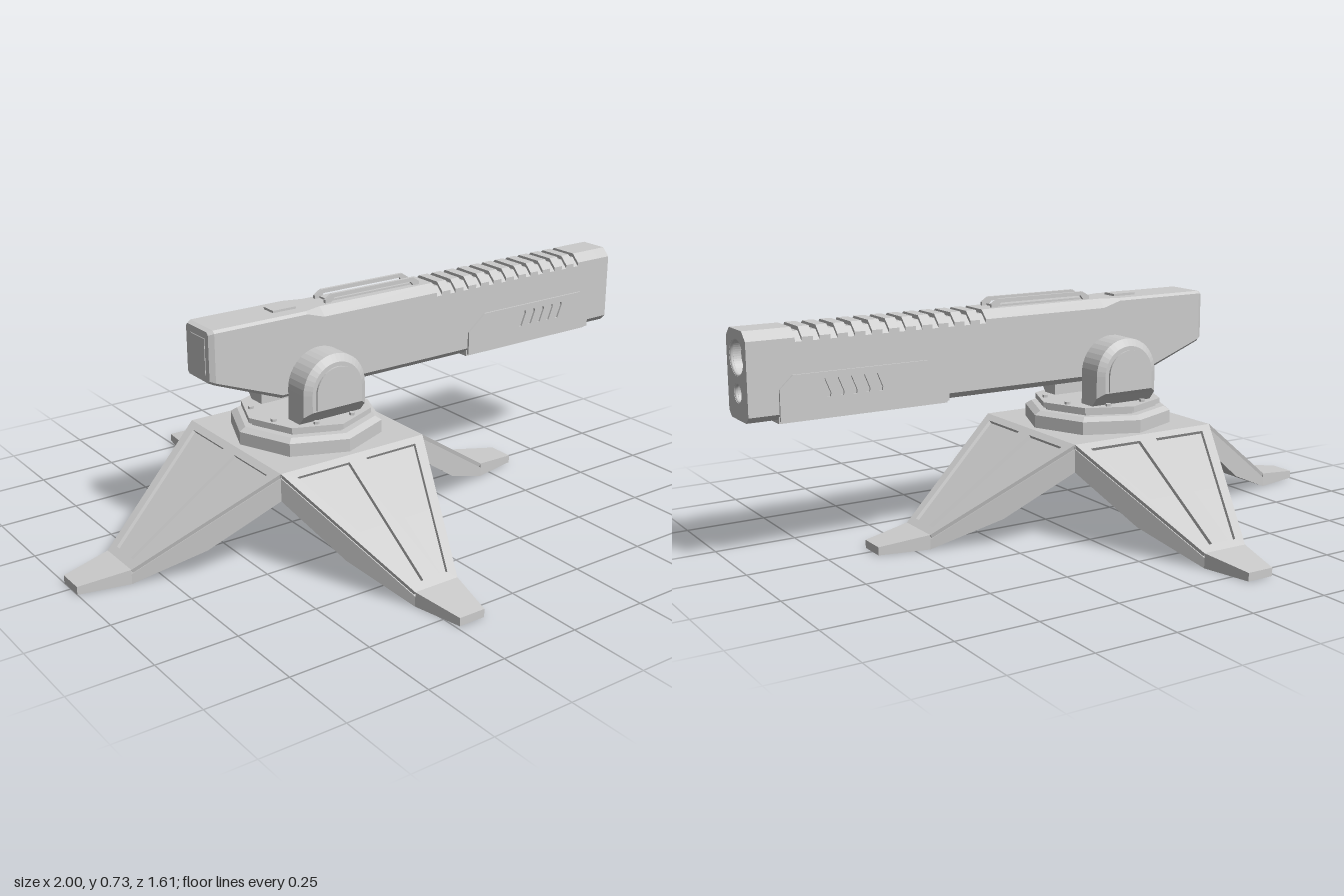
import * as THREE from 'three';

const mat = new THREE.MeshStandardMaterial({ color: 0xcccccc, flatShading: true });
const smooth = new THREE.MeshStandardMaterial({ color: 0xcccccc });

function add(parent, name, geo, material = mat, pos = [0, 0, 0]) {
  const m = new THREE.Mesh(geo, material);
  m.name = name;
  m.position.set(...pos);
  parent.add(m);
  return m;
}

// Closed solid through convex cross-sections; turned outward by its signed volume
function loft(sections) {
  const tris = [];
  const n = sections[0].length;
  for (let s = 0; s < sections.length - 1; s++) {
    const a = sections[s], b = sections[s + 1];
    for (let i = 0; i < n; i++) {
      const j = (i + 1) % n;
      tris.push([a[i], a[j], b[j]], [a[i], b[j], b[i]]);
    }
  }
  const first = sections[0], last = sections[sections.length - 1];
  for (let i = 1; i < n - 1; i++) {
    tris.push([first[0], first[i + 1], first[i]], [last[0], last[i], last[i + 1]]);
  }
  let volume = 0;
  const v = tris.map(t => t.map(p => new THREE.Vector3(...p)));
  for (const [a, b, c] of v) volume += a.dot(b.clone().cross(c));
  const flat = tris.flatMap(t => (volume < 0 ? [t[0], t[2], t[1]] : t)).flat();
  const g = new THREE.BufferGeometry();
  g.setAttribute('position', new THREE.Float32BufferAttribute(flat, 3));
  g.computeVertexNormals();
  return g;
}

const poly = pts => new THREE.Shape(pts.map(p => new THREE.Vector2(...p)));
const extrude = (shape, depth) =>
  new THREE.ExtrudeGeometry(shape, { depth, bevelEnabled: false, curveSegments: 24 });

// Leg pointing to +z, with a panelled plate on its slope and a flat foot
function makeLeg() {
  const leg = new THREE.Group();
  leg.name = 'leg';
  const sec = (r, w, top, bottom) => [[-w, top, r], [w, top, r], [w, bottom, r], [-w, bottom, r]];
  add(leg, 'legBody', loft([
    sec(0.255, 0.255, 0.291, 0.22), sec(0.45, 0.166, 0.163, 0.085), sec(0.65, 0.075, 0.031, 0),
  ]));
  add(leg, 'foot', loft([sec(0.65, 0.075, 0.045, 0), sec(0.805, 0.043, 0.025, 0)]));
  const L = 0.473;
  const plate = poly([[-0.255, 0], [0.255, 0], [0.075, L], [-0.075, L]]);
  for (const s of [-1, 1]) {
    plate.holes.push(poly([[s * 0.03, 0.024], [s * 0.212, 0.024], [s * 0.056, 0.447], [s * 0.03, 0.447]]));
  }
  const g = extrude(plate, 0.013);
  g.rotateX(Math.PI / 2 + Math.atan2(0.26, 0.395));
  add(leg, 'panelFrame', g, mat, [0, 0.305, 0.255]);
  return leg;
}

// Round-topped outline at depth z
function arch(z, r, bottom, cy = 0.478) {
  const pts = [[-r, bottom, z]];
  for (let i = 0; i <= 20; i++) {
    const a = Math.PI * (1 - i / 20);
    pts.push([r * Math.cos(a), cy + r * Math.sin(a), z]);
  }
  pts.push([r, bottom, z]);
  return pts;
}

// Chamfered barrel outline as [z, y]
function outline(top = 0.7, bottom = 0.447, w = 0.072, ct = 0.026, cb = 0.018) {
  return [
    [-w + cb, bottom], [w - cb, bottom], [w, bottom + cb], [w, top - ct],
    [w - ct, top], [-w + ct, top], [-w, top - ct], [-w, bottom + cb],
  ];
}

function makeGun() {
  const gun = new THREE.Group();
  gun.name = 'gun';
  const sec = (x, ...args) => outline(...args).map(([z, y]) => [x, y, z]);

  // Receiver, sloping rear and grooved top
  const sections = [
    sec(-0.56, 0.695, 0.542, 0.062, 0.008, 0.008),
    sec(-0.545, 0.7, 0.536, 0.072, 0.008, 0.008),
    sec(-0.32, 0.7, 0.447, 0.072, 0.008, 0.012),
    sec(-0.23, 0.7, 0.447, 0.072, 0.008, 0.018),
    sec(-0.17, 0.7, 0.447, 0.072, 0.026, 0.018),
  ];
  for (let i = 0; i < 12; i++) {
    const x = 0.255 + i * 0.053;
    sections.push(sec(x), sec(x, 0.688), sec(x + 0.02, 0.688), sec(x + 0.02));
  }
  sections.push(sec(0.95));
  add(gun, 'barrelHousing', loft(sections));

  // Muzzle block with two bores
  const end = poly(outline());
  for (const [y, r] of [[0.622, 0.052], [0.522, 0.028]]) {
    end.holes.push(new THREE.Path().absarc(0, y, r, 0, Math.PI * 2, true));
    const ring = new THREE.TorusGeometry(r, 0.005, 8, 32).rotateY(Math.PI / 2);
    add(gun, 'boreRing', ring, smooth, [0.994, y, 0]);
    const lens = new THREE.CylinderGeometry(r * 0.78, r * 0.78, 0.02, 28).rotateZ(Math.PI / 2);
    add(gun, 'boreCore', lens, mat, [0.96, y, 0]);
  }
  add(gun, 'muzzle', extrude(end, 0.05).rotateY(Math.PI / 2), mat, [0.95, 0, 0]);

  // Side panels with slanted vents, and the pad that joins them below
  for (const s of [-1, 1]) {
    const panel = poly([[0.385, 0.445], [0.91, 0.445], [0.91, 0.535], [0.87, 0.572], [0.45, 0.572], [0.385, 0.52]]);
    for (let i = 0; i < 5; i++) {
      const x = 0.6 + i * 0.04;
      panel.holes.push(poly([
        [x, 0.5], [x + 0.01, 0.5], [x + 0.027, 0.542], [x + 0.025, 0.552], [x + 0.015, 0.552], [x - 0.002, 0.51],
      ]));
    }
    add(gun, 'ventPanel', extrude(panel, 0.007), mat, [0, 0, s > 0 ? 0.071 : -0.078]);
  }
  add(gun, 'underPad', new THREE.BoxGeometry(0.525, 0.02, 0.13), mat, [0.6475, 0.447, 0]);

  // Twin top rails
  const rail = poly([
    [-0.14, 0.695], [-0.14, 0.71], [-0.115, 0.725], [0.19, 0.725], [0.213, 0.71], [0.213, 0.695],
    [0.195, 0.695], [0.18, 0.713], [-0.108, 0.713], [-0.122, 0.695],
  ]);
  for (const z of [-0.028, 0.028]) add(gun, 'topRail', extrude(rail, 0.01), mat, [0, 0, z - 0.005]);
  add(gun, 'railBed', new THREE.BoxGeometry(0.32, 0.008, 0.045), mat, [0.037, 0.702, 0]);

  // Top latch and rear plate
  add(gun, 'topLatch', new THREE.BoxGeometry(0.08, 0.014, 0.05), mat, [-0.28, 0.7, 0]);
  add(gun, 'rearPlate', new THREE.BoxGeometry(0.01, 0.11, 0.085), mat, [-0.557, 0.618, 0]);
  return gun;
}

export function createModel() {
  const model = new THREE.Group();
  model.name = 'turret';

  // Four-legged base
  const base = new THREE.Group();
  base.name = 'base';
  base.position.x = -0.195;
  model.add(base);
  add(base, 'hub', new THREE.BoxGeometry(0.51, 0.085, 0.51), mat, [0, 0.2625, 0]);
  for (let i = 0; i < 4; i++) {
    const leg = makeLeg();
    leg.rotation.y = i * Math.PI / 2;
    base.add(leg);
  }

  // Octagonal turntable
  const disc = (name, r1, r2, y0, y1) =>
    add(base, name, new THREE.CylinderGeometry(r1, r2, y1 - y0, 8), mat, [0, (y0 + y1) / 2, 0]);
  disc('turntableRing', 0.235, 0.235, 0.305, 0.345);
  disc('turntableBevel', 0.215, 0.235, 0.345, 0.357);
  disc('turntableNeck', 0.19, 0.19, 0.357, 0.368);
  disc('turntableTop', 0.202, 0.202, 0.366, 0.382);
  for (let i = 0; i < 8; i++) {
    const a = (i + 0.5) * Math.PI / 4;
    add(base, 'bolt', new THREE.CylinderGeometry(0.009, 0.009, 0.01, 6), mat,
      [0.168 * Math.sin(a), 0.385, 0.168 * Math.cos(a)]);
  }

  // Side brackets and pivot
  for (const s of [-1, 1]) {
    add(base, 'bracket', loft([
      arch(s * 0.076, 0.11, 0.378), arch(s * 0.13, 0.11, 0.378),
      arch(s * 0.157, 0.11, 0.41), arch(s * 0.172, 0.088, 0.425),
    ]));
    add(base, 'bracketCap', loft([arch(s * 0.165, 0.075, 0.43), arch(s * 0.178, 0.075, 0.43)]));
  }
  add(base, 'pivot', new THREE.CylinderGeometry(0.06, 0.06, 0.17, 24).rotateX(Math.PI / 2), mat, [0, 0.51, 0]);

  model.add(makeGun());
  return model;
}
